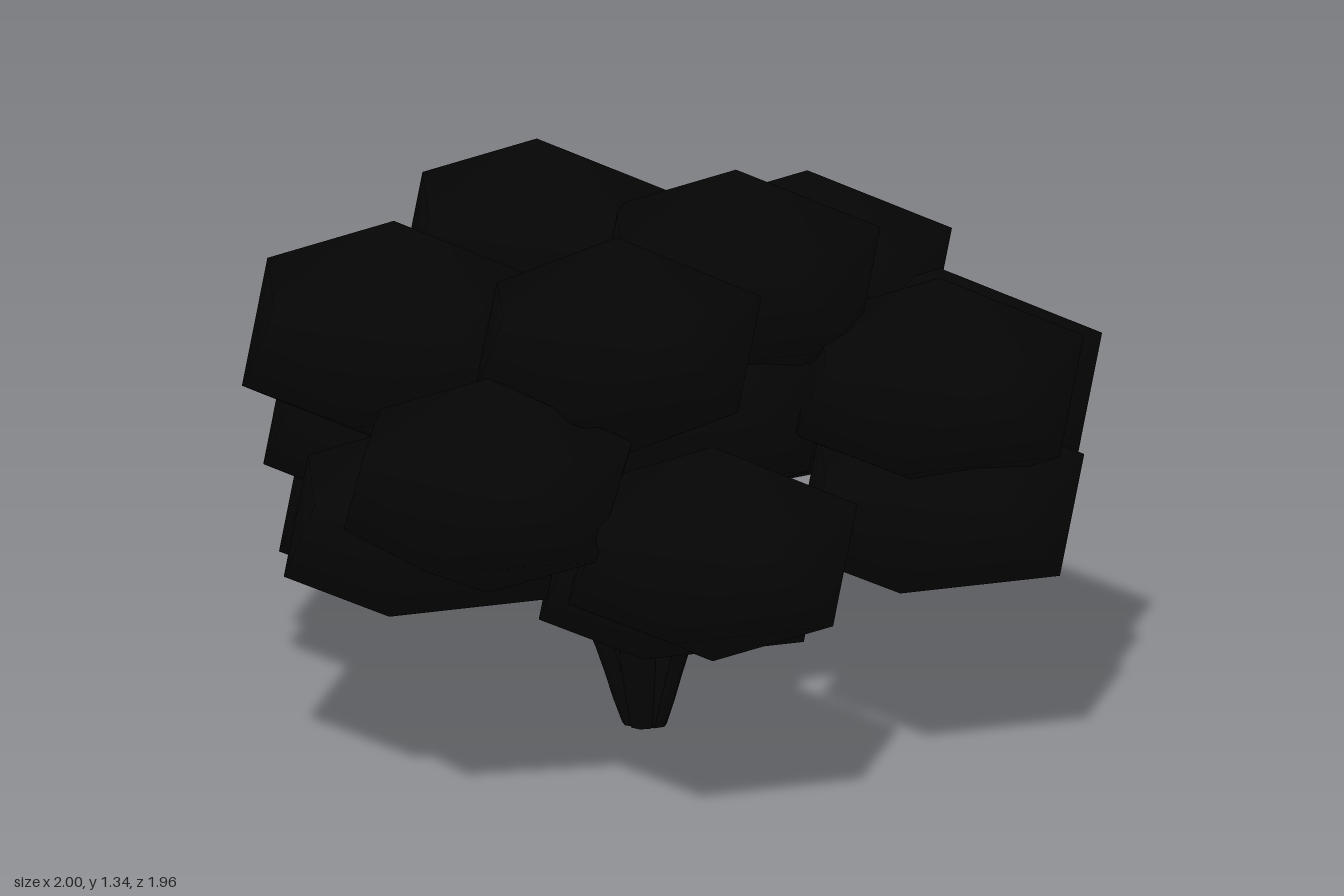
import * as THREE from 'three';
import { mergeVertices } from 'three/addons/utils/BufferGeometryUtils.js';

const leafMaterial = new THREE.MeshStandardMaterial({ color: 0x050505 });
const stemMaterial = new THREE.MeshStandardMaterial({ color: 0x050505 });

// Flattened icosahedron standing on one corner, smooth shaded;
// underside sets how far the lowest corner hangs down
function puffShape(underside) {
  const ico = new THREE.IcosahedronGeometry(0.375, 0);
  ico.deleteAttribute('normal');
  ico.deleteAttribute('uv');
  ico.rotateX(-Math.atan((1 + Math.sqrt(5)) / 2)).scale(1, 0.695, 1);
  const geometry = mergeVertices(ico, 1e-4);
  const position = geometry.attributes.position;
  for (let i = 0; i < position.count; i++) {
    if (position.getY(i) < -0.2) position.setY(i, -underside);
  }
  geometry.computeVertexNormals();
  return geometry;
}
const fullPuff = puffShape(0.26);
const flatPuff = puffShape(0.165);

// shape, centre x, y, z, then optional yaw (degrees), tilt about x, tilt about z, size
const puffs = [
  // crown
  [fullPuff, 0.15, 1.08, 0],
  [fullPuff, -0.3, 1.08, -0.3, 18, 0, 0, 0.95],
  [fullPuff, -0.14, 1.03, 0.375, 18, -0.1],
  [fullPuff, 0.33, 0.96, -0.37],
  // core
  [fullPuff, 0, 0.8, -0.04, 18, 0, 0, 1.15],
  // middle ring
  [fullPuff, -0.645, 0.965, 0.04, 18, 0, 0, 1.05],
  [fullPuff, -0.45, 0.775, 0.62, 10],
  [fullPuff, 0.07, 0.615, 0.66],
  [fullPuff, 0.615, 0.865, 0.17],
  [fullPuff, 0.63, 0.75, -0.17, 18, 0, 0, 1.12],
  [fullPuff, 0.18, 0.61, -0.65, 18, 0.11],
  [fullPuff, -0.31, 0.8, -0.58],
  // lower ring
  [flatPuff, 0.615, 0.58, 0.18],
  [flatPuff, 0.01, 0.515, 0.46],
  [flatPuff, -0.575, 0.576, 0.3],
  [fullPuff, -0.595, 0.63, -0.4],
  [flatPuff, -0.56, 0.43, -0.36],
];

// Curved stem, thickest in the middle
function stem(angle) {
  const dx = Math.cos(angle), dz = Math.sin(angle);
  const at = (r, y) => new THREE.Vector3(-0.06 + dx * r, y, dz * r);
  const curve = new THREE.CatmullRomCurve3([
    at(0.025, 0), at(0.075, 0.2), at(0.15, 0.36), at(0.23, 0.5),
  ]);
  const rings = 8, sides = 7;
  const geometry = new THREE.TubeGeometry(curve, rings, 0.04, sides, false);
  const position = geometry.attributes.position;
  const p = new THREE.Vector3();
  for (let i = 0; i < position.count; i++) {
    const t = Math.floor(i / (sides + 1)) / rings;
    const centre = curve.getPointAt(t);
    const width = 0.75 - 0.25 * t + 0.5 * Math.sin(Math.PI * t);
    p.fromBufferAttribute(position, i).sub(centre).multiplyScalar(width).add(centre);
    position.setXYZ(i, p.x, Math.max(0, p.y), p.z);
  }
  geometry.computeVertexNormals();
  const mesh = new THREE.Mesh(geometry, stemMaterial);
  mesh.name = 'stem';
  return mesh;
}

export function createModel() {
  const bush = new THREE.Group();
  bush.name = 'bush';

  const foliage = new THREE.Group();
  foliage.name = 'foliage';
  for (const [shape, x, y, z, yaw = 18, tiltX = 0, tiltZ = 0, size = 1] of puffs) {
    const puff = new THREE.Mesh(shape, leafMaterial);
    puff.name = 'leafPuff';
    puff.position.set(x, y, z);
    puff.rotation.set(tiltX, THREE.MathUtils.degToRad(yaw), tiltZ, 'XZY');
    puff.scale.setScalar(size);
    foliage.add(puff);
  }
  bush.add(foliage);

  // Stems fanning out from one base
  const stems = new THREE.Group();
  stems.name = 'stems';
  const count = 5;
  for (let i = 0; i < count; i++) {
    stems.add(stem(Math.PI + (i / count) * Math.PI * 2));
  }
  bush.add(stems);
  return bush;
}
